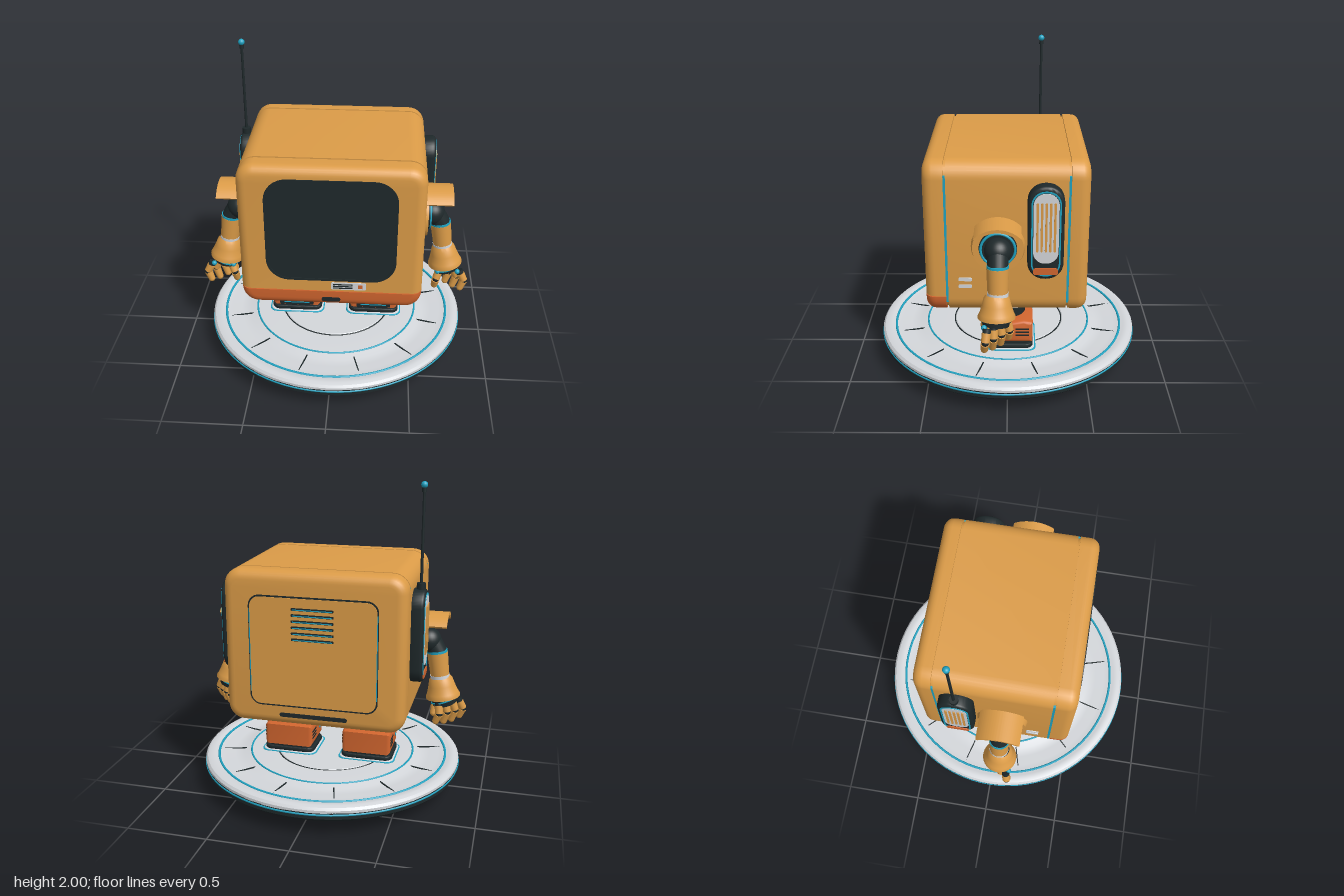
import * as THREE from 'three';
import { toCreasedNormals } from 'three/addons/utils/BufferGeometryUtils.js';

const mat = (name, color, side = THREE.FrontSide) => {
  const m = new THREE.MeshStandardMaterial({ color, side });
  m.name = name;
  return m;
};
const V = (x, y, z) => new THREE.Vector3(x, y, z);

export function createModel() {
  const root = new THREE.Group();
  root.name = 'robot';
  const amber = mat('amber', 0xdc9c48), rust = mat('rust', 0xd2662f), dark = mat('charcoal', 0x1f292b);
  const white = mat('paleGrey', 0xd4d7db), cyan = mat('cyan', 0x1fa3c2);

  const add = (parent, name, geo, m, x = 0, y = 0, z = 0) => {
    const mesh = new THREE.Mesh(geo, m);
    mesh.name = name;
    mesh.position.set(x, y, z);
    parent.add(mesh);
    return mesh;
  };
  const group = (parent, name, x, y, z) => {
    const g = new THREE.Group();
    g.name = name;
    g.position.set(x, y, z);
    parent.add(g);
    return g;
  };
  // points of a rounded rectangle, counter-clockwise
  const rrPoints = (w, h, r, n = 8) => {
    const pts = [];
    [[1, 1], [-1, 1], [-1, -1], [1, -1]].forEach(([sx, sy], k) => {
      for (let i = 0; i <= n; i++) {
        const a = (k + i / n) * Math.PI / 2;
        pts.push(new THREE.Vector2(sx * (w / 2 - r) + r * Math.cos(a), sy * (h / 2 - r) + r * Math.sin(a)));
      }
    });
    return pts;
  };
  const slab = (w, h, r, d, bevel = 0) => {
    const shape = new THREE.Shape(rrPoints(w - 2 * bevel, h - 2 * bevel, Math.max(r - bevel, 0.001)));
    const g = new THREE.ExtrudeGeometry(shape, { depth: d - bevel, bevelEnabled: bevel > 0, bevelSize: bevel, bevelThickness: bevel, bevelSegments: 4 });
    return toCreasedNormals(g, 0.6);
  };
  const frame = (w, h, r, t, d) => {
    const shape = new THREE.Shape(rrPoints(w, h, r));
    shape.holes.push(new THREE.Path(rrPoints(w - 2 * t, h - 2 * t, r - t).reverse()));
    return new THREE.ExtrudeGeometry(shape, { depth: d, bevelEnabled: false });
  };
  const rod = (parent, name, m, a, b, ra, rb = ra, n = 24) => {
    const mesh = add(parent, name, new THREE.CylinderGeometry(rb, ra, a.distanceTo(b), n), m);
    mesh.position.copy(a).lerp(b, 0.5);
    mesh.quaternion.setFromUnitVectors(V(0, 1, 0), b.clone().sub(a).normalize());
    return mesh;
  };
  const lathe = (pts) => toCreasedNormals(new THREE.LatheGeometry(pts.map(p => new THREE.Vector2(...p)), 80), 0.5);
  const ring = (parent, name, m, r, t, y) => {
    add(parent, name, new THREE.TorusGeometry(r, t, 8, 80), m, 0, y, 0).rotation.x = Math.PI / 2;
  };

  // hover base
  const base = group(root, 'base', 0, 0, 0);
  add(base, 'baseUnderside', lathe([[0, 0.012], [0.3, 0.012], [0.32, 0.005], [0.36, 0.01], [0.49, 0.03], [0.55, 0.07], [0.64, 0.09],
    [0.78, 0.095], [0.82, 0.105], [0.842, 0.125], [0.842, 0.165]]), dark);
  add(base, 'baseTop', lathe([[0.842, 0.163], [0.842, 0.18], [0.83, 0.194], [0.81, 0.2], [0.78, 0.2], [0.755, 0.19], [0.71, 0.19],
    [0.65, 0.184], [0.59, 0.184], [0.555, 0.198], [0.53, 0.2], [0.37, 0.2], [0.36, 0.192], [0.35, 0.2], [0, 0.2]]), white);
  ring(base, 'rimLight', cyan, 0.84, 0.007, 0.152);
  ring(base, 'outerTopLight', cyan, 0.755, 0.008, 0.192);
  ring(base, 'innerTopLight', cyan, 0.54, 0.006, 0.199);
  ring(base, 'innerSeam', dark, 0.36, 0.004, 0.196);
  add(base, 'bottomLight', new THREE.CylinderGeometry(0.28, 0.28, 0.008, 64), cyan, 0, 0.01, 0);
  ring(base, 'bottomLightRing', cyan, 0.325, 0.004, 0.006);
  for (let i = 0; i < 12; i++) {
    const a = (15 + 30 * i) * Math.PI / 180;
    const seam = add(base, 'deckSeam', new THREE.BoxGeometry(0.15, 0.006, 0.007), dark, 0.65 * Math.cos(a), 0.187, 0.65 * Math.sin(a));
    seam.rotation.y = -a;
  }

  // rounded body shell lofted through [z, inset] sections, cut between heights lo and hi
  const shell = (sections, lo = -9, hi = 9) => {
    const pos = [], idx = [];
    const count = rrPoints(1, 1, 0.1).length;
    for (const [z, inset] of sections)
      for (const p of rrPoints(1.11 - 2 * inset, 0.96 - 2 * inset, 0.105 - inset))
        pos.push(p.x, Math.min(hi, Math.max(lo, p.y + 1.01)), z);
    for (let i = 0; i < sections.length - 1; i++)
      for (let j = 0; j < count; j++) {
        const a = i * count + j, b = i * count + (j + 1) % count;
        idx.push(a, b, b + count, a, b + count, a + count);
      }
    const top = (sections.length - 1) * count;
    for (let j = 1; j < count - 1; j++) idx.push(0, j + 1, j, top, top + j, top + j + 1);
    const g = new THREE.BufferGeometry();
    g.setAttribute('position', new THREE.Float32BufferAttribute(pos, 3));
    g.setIndex(idx);
    return toCreasedNormals(g, 0.5);
  };
  const round = [0, 1, 2, 3, 4, 5, 6].map(i => i * Math.PI / 12);
  const R = 0.06;
  const front = [[0.366, 0], ...round.map(a => [0.49 - R + R * Math.sin(a), R - R * Math.cos(a)])];
  const back = [...round.map(a => [-0.477 + R - R * Math.sin(a), R - R * Math.cos(a)]).reverse(), [-0.364, 0]];
  const body = group(root, 'body', 0, 0, 0);
  add(body, 'frontShell', shell(front, 0.65), amber);
  add(body, 'chin', shell(front, -9, 0.644), rust);
  add(body, 'middleShell', shell([[-0.35, 0], [0.352, 0]]), amber);
  add(body, 'backShell', shell(back), amber);
  add(body, 'innerCore', shell([[-0.42, 0.014], [0.42, 0.014]]), amber);
  for (const s of [-1, 1]) for (const z of [-0.357, 0.359])
    add(body, 'sideSeamLight', new THREE.BoxGeometry(0.02, 0.8, 0.014), cyan, s * 0.542, 1.01, z);

  // face: screen, control strip, chin slot
  add(body, 'screenFrame', frame(0.785, 0.69, 0.14, 0.014, 0.008), dark, 0, 1.072, 0.488);
  add(body, 'screen', slab(0.765, 0.67, 0.13, 0.004), dark, 0, 1.072, 0.488);
  add(body, 'controlStrip', slab(0.215, 0.05, 0.01, 0.008), white, 0.108, 0.69, 0.488);
  for (let i = 0; i < 3; i++) add(body, 'controlBar', new THREE.BoxGeometry(0.12, 0.007, 0.006), dark, 0.072, 0.677 + i * 0.013, 0.495);
  add(body, 'button', new THREE.BoxGeometry(0.026, 0.026, 0.008), rust, 0.18, 0.69, 0.495);
  add(body, 'chinSlot', slab(0.115, 0.03, 0.014, 0.006), dark, 0, 0.586, 0.487);
  add(body, 'chinSensor', new THREE.CylinderGeometry(0.025, 0.02, 0.02, 20), dark, 0, 0.525, 0.3);

  // back hatch with vents
  const hatch = group(body, 'backHatch', 0, 1.0, -0.475);
  hatch.rotation.y = Math.PI;
  add(hatch, 'hatchSeam', frame(0.79, 0.69, 0.07, 0.01, 0.004), dark);
  add(hatch, 'hatchPanel', slab(0.77, 0.67, 0.06, 0.008), amber);
  for (const s of [-1, 1]) add(hatch, 'hatchLight', new THREE.BoxGeometry(0.005, 0.52, 0.008), cyan, s * 0.388, 0, 0.003);
  for (let i = 0; i < 6; i++) {
    add(hatch, 'ventSlit', slab(0.26, 0.016, 0.007, 0.004), dark, 0, 0.085 + i * 0.037, 0.006);
    add(hatch, 'ventLight', new THREE.BoxGeometry(0.24, 0.006, 0.004), cyan, 0, 0.082 + i * 0.037, 0.009);
  }
  add(hatch, 'lowerGrille', slab(0.42, 0.026, 0.012, 0.006), dark, 0, -0.4, 0);

  // antenna
  const antenna = group(root, 'antenna', -0.595, 0, -0.22);
  rod(antenna, 'antennaSocket', dark, V(0, 1.35, 0), V(0, 1.41, 0), 0.027);
  rod(antenna, 'antennaRod', dark, V(0, 1.4, 0), V(0, 1.96, 0), 0.009, 0.008, 12);
  rod(antenna, 'antennaCollar', dark, V(0, 1.94, 0), V(0, 1.965, 0), 0.014);
  add(antenna, 'antennaTip', new THREE.SphereGeometry(0.02, 20, 14), cyan, 0, 1.98, 0);

  for (const s of [-1, 1]) {
    const P = (x, y, z) => V(s * x, y, z);
    const tag = s > 0 ? 'left' : 'right';

    // side pod
    const pod = group(root, tag + 'SidePod', s * 0.55, 1.088, -0.22);
    pod.rotation.y = s * Math.PI / 2;
    add(pod, 'podCase', slab(0.21, 0.575, 0.1, 0.08, 0.02), dark);
    add(pod, 'podLight', frame(0.17, 0.525, 0.08, 0.009, 0.005), cyan, 0, 0, 0.079);
    add(pod, 'podInset', slab(0.146, 0.43, 0.07, 0.005), white, 0, 0.035, 0.08);
    for (let i = -2; i <= 2; i++) add(pod, 'podBar', slab(0.013, 0.3, 0.006, 0.007), amber, i * 0.025, 0.045, 0.084);
    add(pod, 'podLamp', slab(0.145, 0.042, 0.015, 0.008), rust, 0, -0.232, 0.079);
    for (const y of [0.72, 0.765]) {
      const g = add(body, 'sideSlit', slab(0.08, 0.02, 0.007, 0.008), white, s * 0.554, y, 0.25);
      g.rotation.y = s * Math.PI / 2;
    }

    // shoulder
    const arm = group(root, tag + 'Arm', 0, 0, 0);
    rod(arm, 'shoulderDisc', amber, P(0.55, 0.98, 0.055), P(0.588, 0.98, 0.055), 0.16, 0.15, 48);
    rod(arm, 'shoulderSocket', dark, P(0.58, 0.98, 0.055), P(0.605, 0.98, 0.055), 0.115, 0.105, 40);
    add(arm, 'shoulderLight', new THREE.TorusGeometry(0.1, 0.008, 8, 48), cyan, s * 0.603, 0.98, 0.055).rotation.y = Math.PI / 2;
    add(arm, 'shoulderBall', new THREE.SphereGeometry(0.08, 32, 20), dark, s * 0.618, 0.98, 0.055);
    const guard = new THREE.Shape();
    guard.absarc(0, 0, 0.185, Math.PI * 0.24, Math.PI * 0.76, false);
    guard.absarc(0, 0, 0.165, Math.PI * 0.76, Math.PI * 0.24, true);
    const guardGeo = toCreasedNormals(new THREE.ExtrudeGeometry(guard, { depth: 0.19, bevelEnabled: false, curveSegments: 24 }), 0.6);
    add(arm, 'shoulderGuard', guardGeo, amber, s * 0.55, 0.98, 0.055).rotation.y = s * Math.PI / 2;

    // arm and cuff
    rod(arm, 'upperArm', dark, P(0.635, 0.98, 0.055), P(0.68, 0.9, 0.055), 0.062, 0.06);
    rod(arm, 'elbowLight', cyan, P(0.674, 0.917, 0.055), P(0.676, 0.903, 0.055), 0.065);
    rod(arm, 'forearm', amber, P(0.676, 0.903, 0.055), P(0.697, 0.75, 0.055), 0.066, 0.06, 32);
    rod(arm, 'wristBand', white, P(0.696, 0.756, 0.055), P(0.699, 0.735, 0.055), 0.062);
    const cuffProfile = [[0.06, 0.14], [0.075, 0.12], [0.085, 0.08], [0.1, 0.03], [0.11, 0.01], [0.11, 0], [0, 0]].map(p => new THREE.Vector2(...p)).reverse();
    const cuff = add(arm, 'cuff', toCreasedNormals(new THREE.LatheGeometry(cuffProfile, 40), 0.7), amber, s * 0.722, 0.605, 0.062);
    cuff.rotation.z = s * 0.16;
    rod(arm, 'palm', dark, P(0.72, 0.615, 0.063), P(0.735, 0.56, 0.067), 0.088, 0.078);
    rod(arm, 'palmLight', cyan, P(0.727, 0.592, 0.064), P(0.73, 0.584, 0.064), 0.088);

    // four fingers on a diagonal and a thumb
    const finger = (name, a, b, c) => {
      const f = group(arm, name, 0, 0, 0);
      rod(f, 'knuckle', dark, a, a.clone().lerp(b, 0.4), 0.025, 0.024, 14);
      add(f, 'knuckleLight', new THREE.SphereGeometry(0.017, 12, 8), cyan).position.copy(a).add(P(-0.012, 0, 0.018));
      rod(f, 'fingerUpper', amber, a.clone().lerp(b, 0.3), b, 0.027, 0.025, 14);
      add(f, 'fingerJoint', new THREE.SphereGeometry(0.023, 12, 8), dark).position.copy(b);
      rod(f, 'fingerTip', amber, b.clone().lerp(c, 0.15), c, 0.026, 0.022, 14);
      add(f, 'fingerEnd', new THREE.SphereGeometry(0.022, 12, 8), amber).position.copy(c);
    };
    for (let i = 0; i < 4; i++) {
      const t = (i - 1.5) * 0.046, drop = Math.abs(i - 1.5) * 0.012;
      finger('finger', P(0.757 + t * 0.8, 0.58, 0.06 + t * 0.8), P(0.778 + t, 0.51, 0.056 + t), P(0.757 + t, 0.437 + drop, 0.062 + t));
    }
    finger('thumb', P(0.685, 0.575, 0.115), P(0.665, 0.52, 0.135), P(0.658, 0.46, 0.115));

    // leg
    const leg = group(root, tag + 'Leg', s * 0.26, 0, -0.04);
    rod(leg, 'hip', dark, V(0, 0.495, 0), V(0, 0.535, 0), 0.095, 0.1);
    rod(leg, 'piston', white, V(0, 0.42, 0), V(0, 0.5, 0), 0.058);
    rod(leg, 'pistonLight', cyan, V(0, 0.462, 0), V(0, 0.474, 0), 0.061);
    rod(leg, 'ankle', dark, V(0, 0.36, 0), V(0, 0.435, 0), 0.07);

    // foot
    const foot = group(root, tag + 'Foot', s * 0.26, 0, -0.022);
    const side = new THREE.Shape([[-0.11, 0.27], [0.11, 0.27], [0.112, 0.305], [0.085, 0.335], [-0.08, 0.37], [-0.112, 0.365]].map(p => new THREE.Vector2(...p)));
    const footGeo = new THREE.ExtrudeGeometry(side, { depth: 0.27, bevelSize: 0.024, bevelThickness: 0.024, bevelSegments: 4 });
    footGeo.translate(0, 0, -0.135);
    add(foot, 'footShell', toCreasedNormals(footGeo, 0.6), rust).rotation.y = -Math.PI / 2;
    const sole = (name, m, w, d, h, y) => { add(foot, name, slab(w, d, 0.05, h, h * 0.3), m, 0, y, 0).rotation.x = -Math.PI / 2; };
    sole('sole', dark, 0.335, 0.275, 0.022, 0.212);
    sole('upperSole', dark, 0.3, 0.25, 0.026, 0.23);
    sole('padLight', cyan, 0.37, 0.31, 0.006, 0.198);
    sole('footPad', white, 0.355, 0.295, 0.009, 0.198);
    add(foot, 'toeVent', slab(0.23, 0.07, 0.012, 0.012), dark, 0, 0.287, 0.128);
    add(foot, 'toeLight', new THREE.BoxGeometry(0.17, 0.01, 0.006), cyan, 0, 0.3, 0.14);
    add(foot, 'toeLight', new THREE.BoxGeometry(0.17, 0.006, 0.006), cyan, 0, 0.272, 0.14);
    for (const e of [-1, 1]) {
      for (let i = 0; i < 3; i++) add(foot, 'footSlit', new THREE.BoxGeometry(0.008, 0.01, 0.085), dark, e * 0.158, 0.3 + i * 0.022, -0.07);
      rod(foot, 'footLamp', cyan, V(e * 0.15, 0.312, 0.07), V(e * 0.163, 0.312, 0.07), 0.011);
    }
  }
  return root;
}
